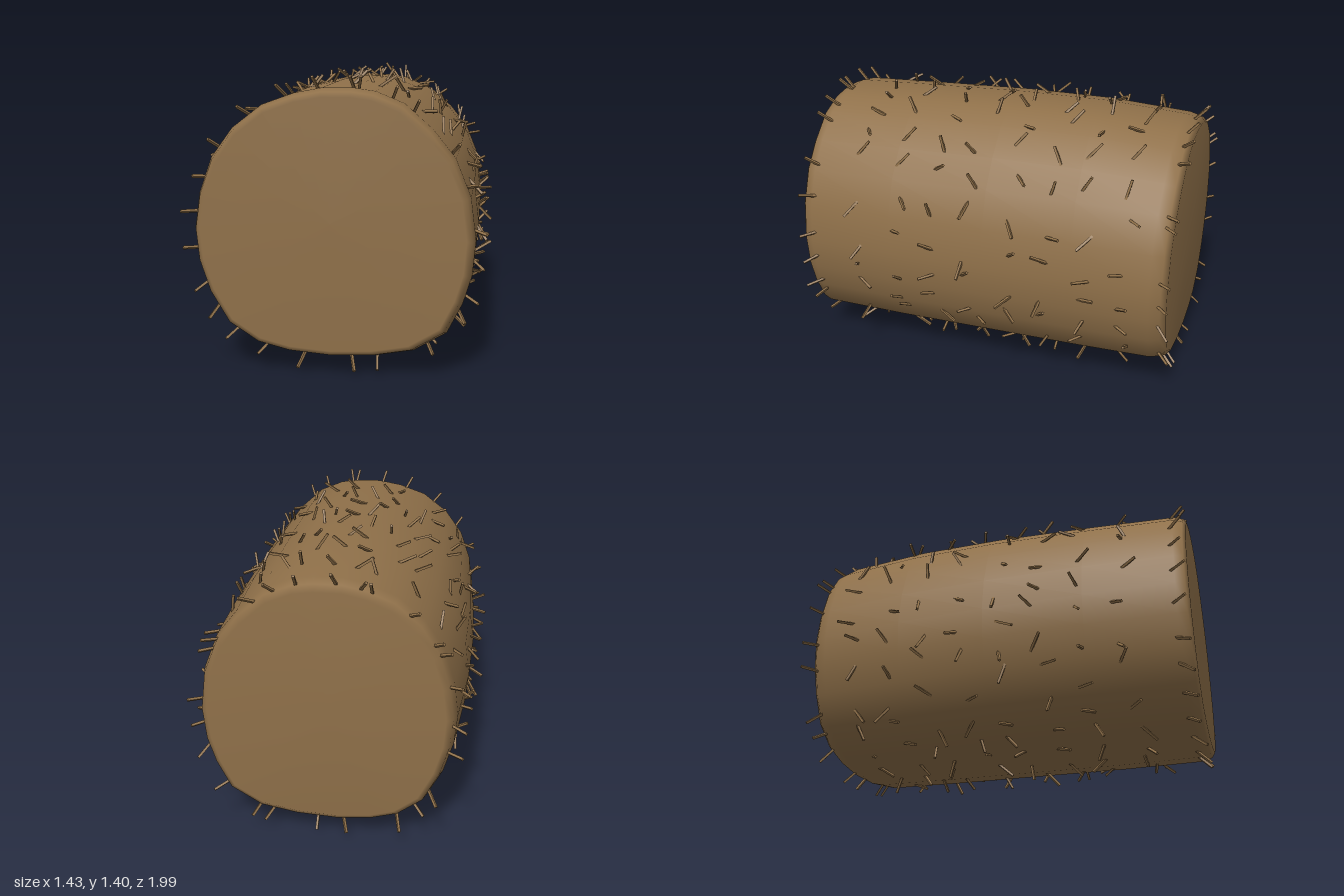
import * as THREE from 'three';
import { mergeGeometries } from 'three/addons/utils/BufferGeometryUtils.js';

// Lumpy round cross-section, counter-clockwise seen from the front
const OUTLINE = [
  [0.1, 1.32], [-0.04, 1.32], [-0.17, 1.295], [-0.32, 1.24], [-0.46, 1.13], [-0.56, 0.99], [-0.62, 0.82],
  [-0.645, 0.65], [-0.63, 0.5], [-0.58, 0.35], [-0.49, 0.2], [-0.35, 0.11], [-0.2, 0.073], [0, 0.057],
  [0.2, 0.067], [0.38, 0.1], [0.53, 0.19], [0.6, 0.33], [0.64, 0.46], [0.655, 0.62], [0.63, 0.82],
  [0.56, 1.0], [0.46, 1.13], [0.33, 1.25], [0.2, 1.305],
];
const N = OUTLINE.length;
const CY = 0.69;

// Rings along the bale: z, overall scale, scale of upper half, scale of the +x... -x flank
const RINGS = [
  [1.0, 0.93, 0.965, 1], [0.985, 0.965, 0.965, 1], [0.94, 0.99, 0.968, 1], [0.5, 1, 0.98, 1], [0, 1, 1, 0.99],
  [-0.45, 1, 0.995, 0.95], [-0.86, 0.995, 0.955, 0.875], [-0.915, 0.975, 0.95, 0.86], [-0.94, 0.93, 0.945, 0.85],
];

function ringPoint([z, s, up, left], j) {
  const i = Math.floor(j), t = j - i;
  const a = OUTLINE[i % N], b = OUTLINE[(i + 1) % N];
  const x = THREE.MathUtils.lerp(a[0], b[0], t) * s;
  const y = (THREE.MathUtils.lerp(a[1], b[1], t) - CY) * s;
  const px = x < 0 ? x * left : x;
  // The back end is slightly skewed
  return new THREE.Vector3(px, CY + (y > 0 ? y * up : y), z + (z < -0.8 ? px * 0.035 : 0));
}

function surfacePoint(z, j) {
  let k = 0;
  while (k < RINGS.length - 2 && RINGS[k + 1][0] > z) k++;
  const t = (RINGS[k][0] - z) / (RINGS[k][0] - RINGS[k + 1][0]);
  return ringPoint(RINGS[k], j).lerp(ringPoint(RINGS[k + 1], j), t);
}

// Closed body lofted through the rings, smooth over the rims
function baleGeometry() {
  const pos = [], index = [];
  for (const r of RINGS) for (let j = 0; j < N; j++) pos.push(...ringPoint(r, j).toArray());
  const front = RINGS.length * N, back = front + 1, last = (RINGS.length - 1) * N;
  pos.push(0, CY, 1.0, 0.03, CY, -0.945);
  for (let j = 0; j < N; j++) {
    const n = (j + 1) % N;
    for (let i = 0; i < RINGS.length - 1; i++) {
      const a = i * N + j, b = i * N + n, c = a + N, d = b + N;
      index.push(a, c, b, b, c, d);
    }
    index.push(front, j, n, back, last + n, last + j);
  }
  const g = new THREE.BufferGeometry();
  g.setAttribute('position', new THREE.Float32BufferAttribute(pos, 3));
  g.setIndex(index);
  g.computeVertexNormals();
  return g;
}

let seed = 7;
const rand = () => (seed = (seed * 16807) % 2147483647) / 2147483647;
const spread = (r) => (rand() * 2 - 1) * r;

// One ring of loose straws; zLean pulls them along the bale
function strawRing(z, zLean) {
  const parts = [];
  const count = 25, up = new THREE.Vector3(0, 1, 0);
  for (let k = 0; k < count; k++) {
    const j = (k + rand() * 0.8) % N;
    const p = surfacePoint(z + (zLean ? 0 : spread(0.035)), j);
    const out = new THREE.Vector3(p.x, p.y - CY, 0).normalize();
    const around = new THREE.Vector3(-out.y, out.x, 0);
    const dir = out.clone().multiplyScalar(zLean ? 0.65 : 0.3 + rand() * 0.4)
      .addScaledVector(around, spread(zLean ? 0.3 : 0.9));
    dir.z += zLean || spread(0.9);
    dir.normalize();
    const len = 0.08 + rand() * 0.03;
    const straw = new THREE.BoxGeometry(0.012, len, 0.012);
    straw.applyQuaternion(new THREE.Quaternion().setFromUnitVectors(up, dir));
    p.addScaledVector(dir, len * 0.3).addScaledVector(out, 0.003);
    straw.translate(p.x, p.y, p.z);
    parts.push(straw);
  }
  return mergeGeometries(parts);
}

export function createModel() {
  const group = new THREE.Group();
  group.name = 'hayBale';
  const hay = new THREE.MeshStandardMaterial({ color: 0x8f7049 });
  hay.name = 'hay brown';

  const bale = new THREE.Mesh(baleGeometry(), hay);
  bale.name = 'bale';
  group.add(bale);

  const straws = new THREE.Group();
  straws.name = 'looseStraws';
  const rows = [[0.93, 0.7], [0.68, 0], [0.46, 0], [0.27, 0], [0.07, 0], [-0.12, 0], [-0.32, 0], [-0.51, 0],
    [-0.71, 0], [-0.91, -0.6]];
  rows.forEach(([z, lean], i) => {
    const ring = new THREE.Mesh(strawRing(z, lean), hay);
    ring.name = `strawRing${i + 1}`;
    straws.add(ring);
  });
  group.add(straws);
  return group;
}
